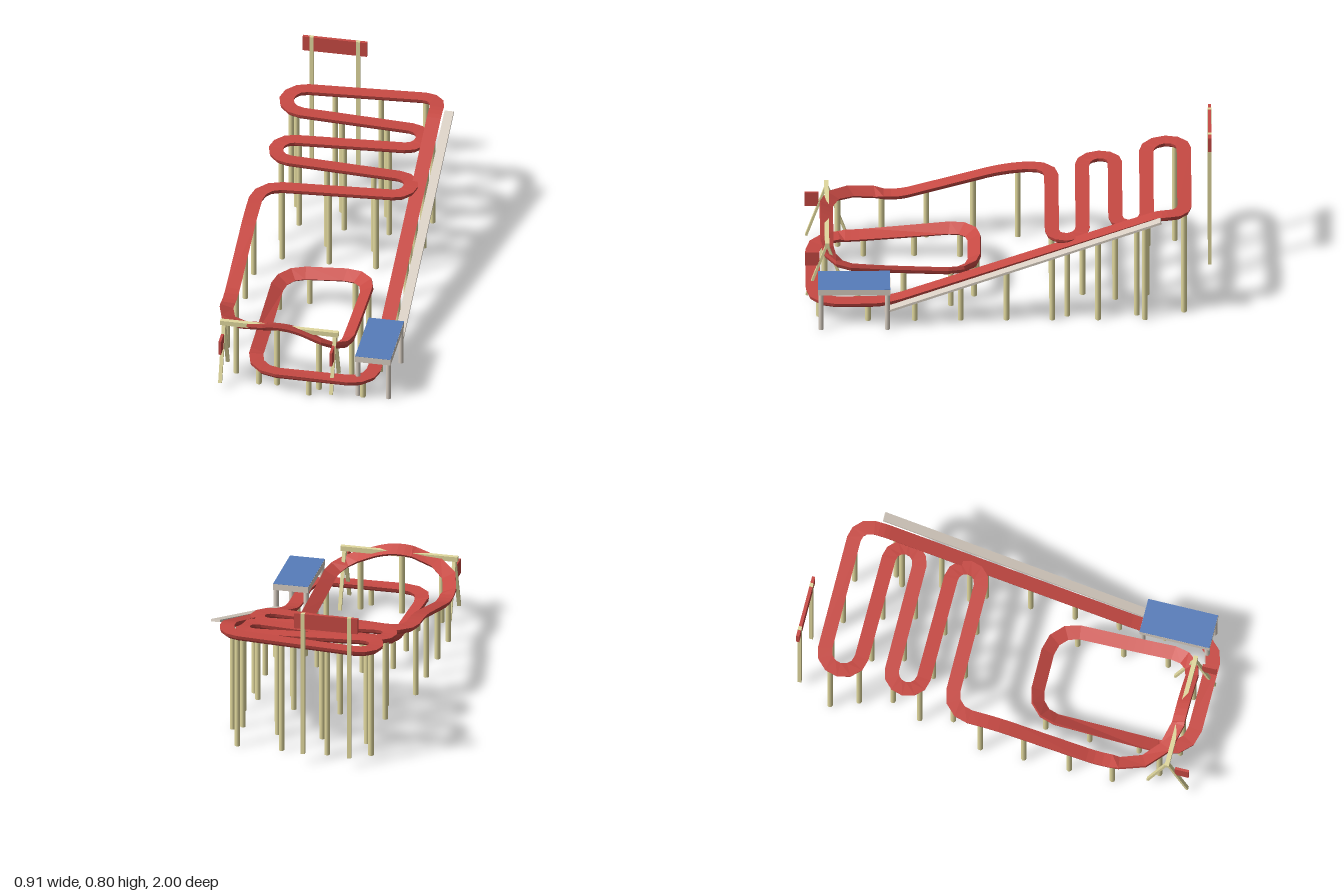
import * as THREE from 'three';

const mat = (name, color) => Object.assign(new THREE.MeshStandardMaterial({ color }), { name });

// Control points of the closed track: x, y (running surface), z, corner radius, bank angle
const ROUTE = [
  [0.355, 0.113, 0.6, 0.08, 0],
  [0.355, 0.606, -0.74, 0.04, 0],
  [0.355, 0.606, -0.865, 0.08, 0],
  [-0.395, 0.576, -0.865, 0.092, 0],
  [-0.395, 0.565, -0.68, 0.092, 0],
  [0.32, 0.535, -0.68, 0.077, 0],
  [0.32, 0.526, -0.526, 0.077, 0],
  [-0.385, 0.496, -0.526, 0.08, 0],
  [-0.385, 0.486, -0.365, 0.08, 0],
  [0.32, 0.457, -0.365, 0.075, 0],
  [0.32, 0.45, -0.214, 0.075, 0],
  [-0.42, 0.417, -0.214, 0.11, 0],
  [-0.42, 0.4, 0.02, 0.08, 0],
  [-0.42, 0.245, 0.55, 0.06, 0.05],
  [-0.42, 0.295, 0.89, 0.24, 0.35],
  [-0.12, 0.35, 0.89, 0.05, 0.45],
  [-0.02, 0.335, 0.89, 0.04, 0.45],
  [0.21, 0.24, 0.89, 0.12, 0.48],
  [0.21, 0.22, 0.6, 0.06, 0.5],
  [0.21, 0.205, 0.168, 0.13, 0.52],
  [-0.238, 0.172, 0.168, 0.12, 0.52],
  [-0.238, 0.122, 0.75, 0.05, 0.3],
  [-0.238, 0.115, 0.96, 0.13, 0.08],
  [0.355, 0.113, 0.96, 0.11, 0],
];

// Post positions on plan (x, z), evenly spaced along the route; each snaps to the track underside
const POSTS = [
  [0.355, 0.69], [0.355, 0.46], [0.355, 0.235], [0.355, 0.01], [0.355, -0.215], [0.355, -0.44], [0.355, -0.67],
  [0.285, -0.865], [0.06, -0.865], [-0.17, -0.865], [-0.385, -0.825],
  [-0.33, -0.68], [-0.1, -0.68], [0.125, -0.68], [0.31, -0.63],
  [0.165, -0.526], [-0.06, -0.526], [-0.285, -0.526],
  [-0.345, -0.375], [-0.115, -0.365], [0.12, -0.365], [0.315, -0.29],
  [0.16, -0.214], [-0.075, -0.214], [-0.31, -0.214],
  [-0.42, -0.05], [-0.42, 0.17], [-0.42, 0.4], [-0.42, 0.62],
  [-0.33, 0.83], [-0.12, 0.89], [0.09, 0.89], [0.21, 0.74], [0.21, 0.515], [0.21, 0.285],
  [0.13, 0.17], [-0.1, 0.165], [-0.22, 0.24], [-0.238, 0.46], [-0.238, 0.71], [-0.21, 0.91],
  [0.05, 0.96], [0.315, 0.93],
];

// Rounds every control point with a coarse arc
function buildPath() {
  const pts = ROUTE.map(([x, y, z]) => new THREE.Vector3(x, y, z));
  const path = [];
  const n = pts.length, steps = 3;
  ROUTE.forEach(([, , , r, bank], i) => {
    const p = pts[i], prev = pts[(i + n - 1) % n], next = pts[(i + 1) % n];
    const toPrev = prev.clone().sub(p).setLength(r);
    const toNext = next.clone().sub(p).setLength(r);
    for (let k = 0; k <= steps; k++) {
      const t = (k / steps) * Math.PI / 2;
      const pos = p.clone()
        .addScaledVector(toPrev, 1 - Math.sin(t))
        .addScaledVector(toNext, 1 - Math.cos(t));
      const last = path[path.length - 1];
      if (!last || last.pos.distanceTo(pos) > 0.01) path.push({ pos, bank });
    }
  });
  return path;
}

// Sweeps a flat-topped half-round section along the path, tilted by the bank angle;
// also returns the line under the track where posts meet it
function sweepTrack(path) {
  const section = [];
  for (let k = 0; k <= 6; k++) {
    const t = (k / 6) * Math.PI;
    section.push([0.035 * Math.cos(t), -0.034 * Math.sin(t)]);
  }
  const n = path.length, m = section.length;
  const up = new THREE.Vector3(0, 1, 0);
  const positions = [], index = [], underside = [];
  path.forEach(({ pos, bank }, i) => {
    const before = path[(i + n - 1) % n].pos, after = path[(i + 1) % n].pos;
    const out = after.clone().sub(pos).setY(0).normalize();
    const dir = out.clone().add(pos.clone().sub(before).setY(0).normalize()).normalize();
    const miter = 1 / dir.dot(out);
    const side = dir.clone().cross(up);
    const right = side.clone().multiplyScalar(Math.cos(bank) * miter).addScaledVector(up, Math.sin(bank));
    const top = up.clone().multiplyScalar(Math.cos(bank)).addScaledVector(side, -Math.sin(bank));
    underside.push(pos.clone().addScaledVector(top, -0.027));
    section.forEach(([s, u], j) => {
      const v = pos.clone().addScaledVector(right, s).addScaledVector(top, u);
      positions.push(v.x, v.y, v.z);
      const i2 = (i + 1) % n, j2 = (j + 1) % m;
      const a = i * m + j, b = i * m + j2, c = i2 * m + j2, d = i2 * m + j;
      index.push(a, b, c, a, c, d);
    });
  });
  const geo = new THREE.BufferGeometry();
  geo.setAttribute('position', new THREE.Float32BufferAttribute(positions, 3));
  geo.setIndex(index);
  const geometry = geo.toNonIndexed();
  geometry.computeVertexNormals();
  return { geometry, underside };
}

// Closest point of a closed line on plan
function snap(line, x, z) {
  let best = null, bestD = Infinity;
  line.forEach((a, i) => {
    const b = line[(i + 1) % line.length];
    const dx = b.x - a.x, dz = b.z - a.z;
    const len = dx * dx + dz * dz || 1e-9;
    const t = THREE.MathUtils.clamp(((x - a.x) * dx + (z - a.z) * dz) / len, 0, 1);
    const q = a.clone().lerp(b, t);
    const d = Math.hypot(q.x - x, q.z - z);
    if (d < bestD) { bestD = d; best = q; }
  });
  return best;
}

export function createModel() {
  const red = mat('track red', 0xc84a44);
  const wood = mat('post cream', 0xe2d99e);
  const grey = mat('platform grey', 0xdad0c4);
  const blue = mat('platform blue', 0x577dba);
  const model = new THREE.Group();
  model.name = 'trackRide';

  const add = (name, geo, material, x = 0, y = 0, z = 0, parent = model) => {
    const mesh = new THREE.Mesh(geo, material);
    mesh.name = name;
    mesh.position.set(x, y, z);
    parent.add(mesh);
    return mesh;
  };
  const box = (name, w, h, d, material, x, y, z, parent) =>
    add(name, new THREE.BoxGeometry(w, h, d), material, x, y, z, parent);
  const group = (name) => {
    const g = new THREE.Group();
    g.name = name;
    model.add(g);
    return g;
  };
  // Box beam running between two points in the y-z plane
  const beam = (name, x, y1, z1, y2, z2, w, t, material, parent) => {
    const mesh = box(name, w, t, Math.hypot(y2 - y1, z2 - z1), material, x, (y1 + y2) / 2, (z1 + z2) / 2, parent);
    mesh.rotation.x = -Math.atan2(y2 - y1, z2 - z1);
  };

  // Track and its posts
  const { geometry, underside } = sweepTrack(buildPath());
  add('track', geometry, red);
  const posts = group('supportPosts');
  POSTS.forEach(([x, z]) => {
    const p = snap(underside, x, z);
    add('supportPost', new THREE.CylinderGeometry(0.014, 0.014, p.y, 10), wood, p.x, p.y / 2, p.z, posts);
  });

  // Walkway beside the lift
  beam('liftWalkway', 0.423, 0.105, 0.583, 0.606, -0.748, 0.046, 0.012, grey);

  // Boarding platform: hollow rim, coloured deck, four legs
  const platform = group('platform');
  for (const s of [-1, 1]) {
    box('rimSide', 0.012, 0.032, 0.355, grey, 0.365 + s * 0.083, 0.216, 0.758, platform);
    box('rimEnd', 0.166, 0.032, 0.012, grey, 0.365, 0.216, 0.758 + s * 0.1715, platform);
    for (const e of [-1, 1])
      add('platformLeg', new THREE.CylinderGeometry(0.013, 0.013, 0.228, 10), grey,
        0.365 + s * 0.076, 0.114, 0.758 + e * 0.163, platform);
  }
  box('deck', 0.177, 0.003, 0.354, blue, 0.365, 0.2315, 0.758, platform);

  // Entrance gantry with splayed legs and side panels
  const gantry = group('gantry');
  box('gantryBeam', 0.592, 0.025, 0.022, wood, -0.11, 0.322, 0.89, gantry);
  for (const x of [-0.388, 0.167]) {
    for (const s of [-1, 1])
      beam('gantryLeg', x, 0.32, 0.89, 0.03, 0.89 + s * 0.1, 0.018, 0.012, wood, gantry);
    box('gantryPanel', 0.013, 0.077, 0.07, red, x, 0.238, 0.963, gantry);
  }

  // Tall board at the back
  const board = group('backBoard');
  box('board', 0.322, 0.08, 0.016, red, -0.195, 0.76, -0.991, board);
  for (const x of [-0.312, -0.079])
    box('boardPost', 0.02, 0.751, 0.018, wood, x, 0.4255, -0.991, board);

  return model;
}
